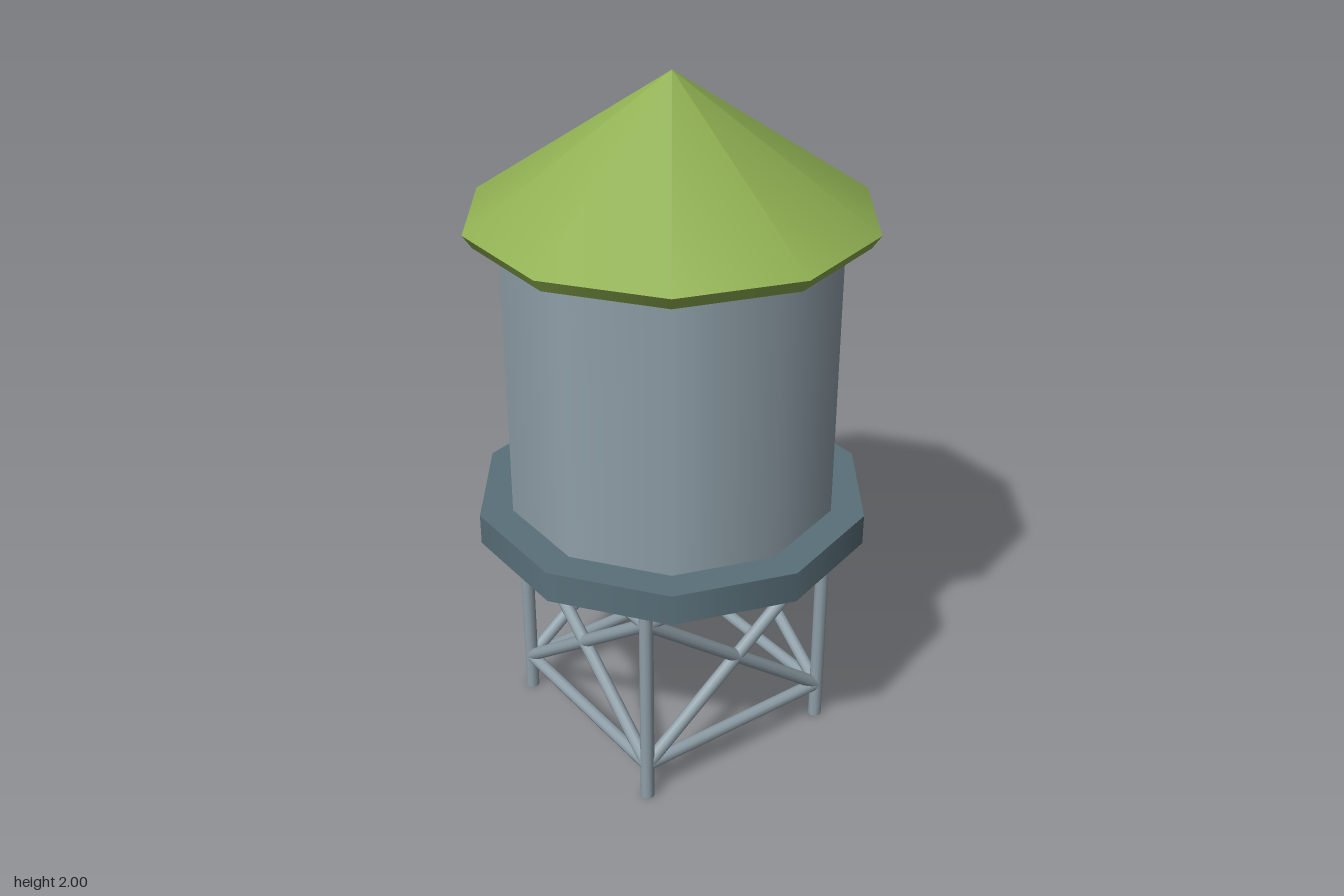
import * as THREE from 'three';

const SIDES = 10;

export function createModel() {
  const model = new THREE.Group();
  model.name = 'waterTower';

  const mat = (name, color) => {
    const m = new THREE.MeshStandardMaterial({ color });
    m.name = name;
    return m;
  };
  const green = mat('roofGreen', 0x90b052);
  const steel = mat('steelGrey', 0x8f9fa8);
  const slate = mat('platformSlate', 0x5a707a);

  // Ten-sided drum between two heights, with a corner on the x axis
  function drum(name, rTop, rBottom, y0, y1, material, parent = model) {
    const geo = new THREE.CylinderGeometry(rTop, rBottom, y1 - y0, SIDES);
    geo.rotateY(Math.PI / 2);
    const mesh = new THREE.Mesh(geo, material);
    mesh.name = name;
    mesh.position.y = (y0 + y1) / 2;
    parent.add(mesh);
  }

  // Round bar between two points
  function bar(name, a, b, radius, parent) {
    const from = new THREE.Vector3(...a);
    const dir = new THREE.Vector3(...b).sub(from);
    const mesh = new THREE.Mesh(new THREE.CylinderGeometry(radius, radius, dir.length(), 10), steel);
    mesh.name = name;
    mesh.position.copy(from).addScaledVector(dir, 0.5);
    mesh.quaternion.setFromUnitVectors(new THREE.Vector3(0, 1, 0), dir.normalize());
    parent.add(mesh);
  }

  // Tank on its platform
  drum('platform', 0.565, 0.565, 0.69, 0.78, slate);
  drum('tank', 0.47, 0.47, 0.78, 1.59, steel);

  // Roof cone with an inward-sloping lip
  const roof = new THREE.Group();
  roof.name = 'roof';
  drum('roofCone', 0, 0.563, 1.62, 2, green, roof);
  drum('roofLip', 0.563, 0.538, 1.583, 1.62, green, roof);
  model.add(roof);

  // Four identical frame sides, each with one leg, two rails and a cross brace
  const d = 0.315, low = 0.112, high = 0.6;
  for (let i = 0; i < 4; i++) {
    const side = new THREE.Group();
    side.name = 'frameSide';
    bar('leg', [d, 0, d], [d, 0.69, d], 0.02, side);
    bar('lowerRail', [-d, low, d], [d, low, d], 0.019, side);
    bar('upperRail', [-d, high, d], [d, high, d], 0.019, side);
    bar('brace', [-d, low, d], [d, high, d], 0.019, side);
    bar('brace', [d, low, d], [-d, high, d], 0.019, side);
    side.rotation.y = i * Math.PI / 2;
    model.add(side);
  }

  return model;
}
